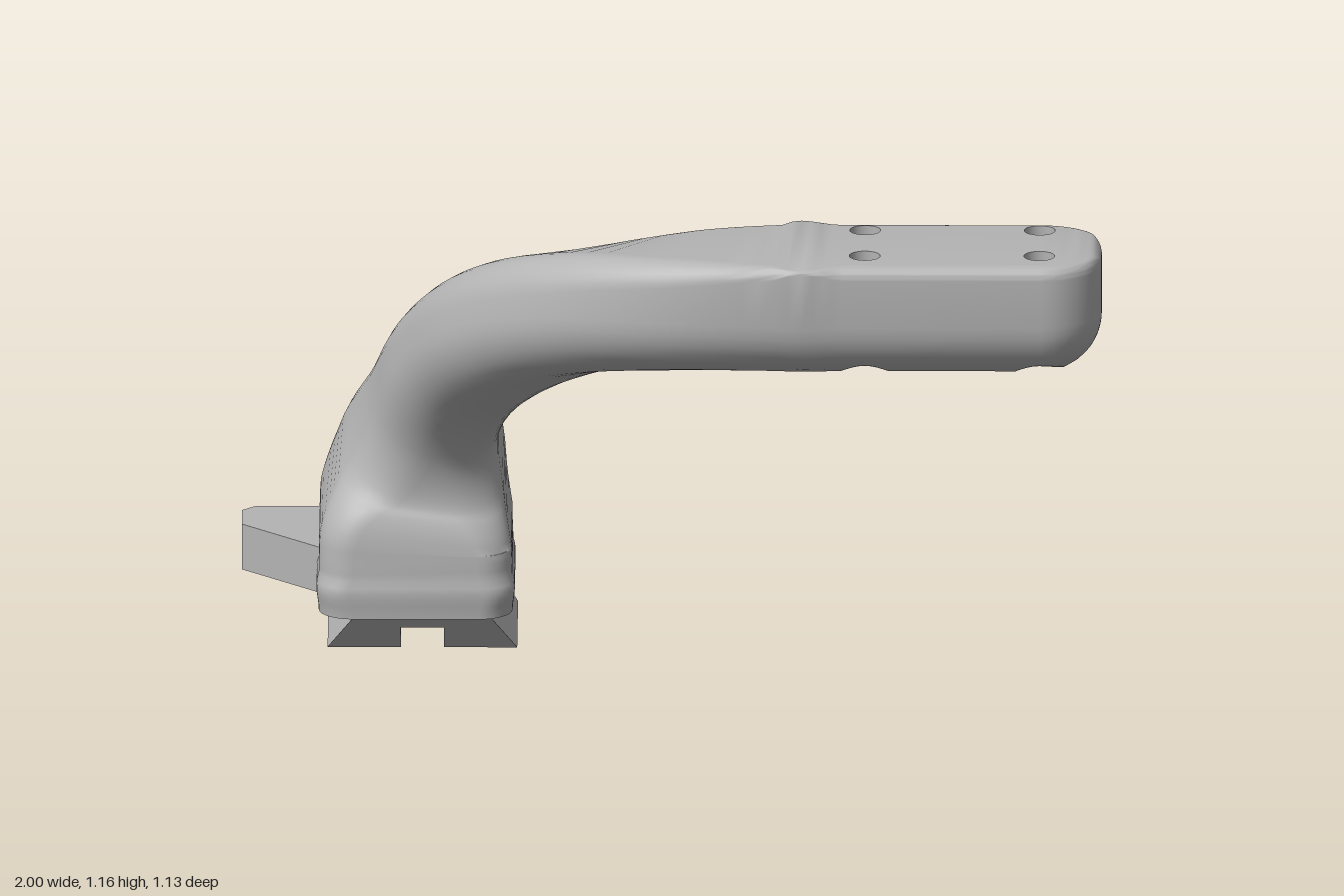
import * as THREE from 'three';
import { toCreasedNormals, mergeVertices } from 'three/addons/utils/BufferGeometryUtils.js';

const V = (x, y, z) => new THREE.Vector3(x, y, z);
const grey = new THREE.MeshStandardMaterial({ color: 0xb4b4b4, side: THREE.DoubleSide });
grey.name = 'grey';

const ARM_Z = 0.37, HALF_W = 0.185, TOP = 1.155, BOTTOM = 0.87, ROUND = 0.14;
const POCKET_TOP = 1.1, POCKET_R = 0.058, HOLE_R = 0.036, BACK_Z = 0.186;

// Rounded rectangle with separate radii for its top and bottom corners
function section(a, b, topR, botR) {
  const pts = [], n = 8;
  [[1, 1, topR, 0], [-1, 1, topR, 1], [-1, -1, botR, 2], [1, -1, botR, 3]].forEach(([sx, sy, rad, q]) => {
    const r = Math.min(rad, a * 0.98, b * 0.98);
    for (let i = 0; i <= n; i++) {
      const t = (q + i / n) * Math.PI / 2;
      pts.push([sx * (a - r) + r * Math.cos(t), sy * (b - r) + r * Math.sin(t)]);
    }
  });
  return pts;
}

// Sweep from the square foot, round the bend and out to the tip of the arm
function bodyGeometry() {
  // x, y, z, half side, half thickness, turn, top radius, bottom radius
  const stations = [
    [-0.595, 0.12, -0.295, 0.225, 0.265, 0, 0.08, 0.08],
    [-0.595, 0.21, -0.295, 0.225, 0.265, 0, 0.08, 0.08],
    [-0.595, 0.30, -0.295, 0.223, 0.263, 0, 0.085, 0.085],
    [-0.578, 0.44, -0.275, 0.19, 0.228, 0.16, 0.12, 0.12],
    [-0.55, 0.59, -0.195, 0.152, 0.175, 0.46, 0.13, 0.14],
    [-0.495, 0.72, -0.085, 0.16, 0.153, 0.6, 0.12, 0.14],
    [-0.375, 0.86, 0.09, 0.175, 0.146, 0.73, 0.11, 0.14],
    [-0.2, 0.955, 0.24, 0.184, 0.143, 0.87, 0.09, 0.14],
    [0.03, 1.003, 0.342, 0.185, 0.1425, 0.97, 0.06, 0.14],
    [0.25, 1.0125, 0.37, 0.185, 0.1425, 1, 0.03, 0.14],
    [0.4, 1.0125, 0.37, 0.185, 0.1425, 1, 0.03, 0.14],
  ];
  const curve = (i) => new THREE.CatmullRomCurve3(stations.map((s) => V(s[i], s[i + 1], s[i + 2] ?? 0)));
  const path = curve(0), size = curve(3), radii = curve(6);
  const rings = [];
  const addRing = (c, t, turn, a, b, tr, br) => {
    const ang = turn * Math.PI / 2;
    const up = V(0, Math.sin(ang), -Math.cos(ang));
    up.addScaledVector(t, -up.dot(t)).normalize();
    const side = t.clone().cross(up);
    rings.push(section(a, b, tr, br).map(([s, u]) => c.clone().addScaledVector(side, s).addScaledVector(up, u)));
  };
  const N = 60;
  for (let i = 0; i <= N; i++) {
    const t = i / N, s = size.getPoint(t), r = radii.getPoint(t);
    addRing(path.getPoint(t), path.getTangent(t), s.z, s.x, s.y, r.x, r.y);
  }
  // Rounded tip
  for (const deg of [0, 12, 24, 36, 47, 54, 60, 66, 72, 78, 84, 90]) {
    const a = deg * Math.PI / 180, c = Math.cos(a), x = 1 - ROUND + ROUND * Math.sin(a);
    const inset = ROUND * (1 - c), e = Math.max(0, x - 0.97);
    const hi = TOP - 0.03 + Math.sqrt(Math.max(0, 0.0009 - e * e)), lo = BOTTOM + inset;
    addRing(V(x, (hi + lo) / 2, ARM_Z), V(1, 0, 0), 1, HALF_W - inset, (hi - lo) / 2, 0.03, ROUND * c + 0.003);
  }
  const pos = [], index = [], m = rings[0].length;
  rings.flat().forEach((p) => pos.push(p.x, p.y, p.z));
  for (let i = 0; i < rings.length - 1; i++) for (let j = 0; j < m; j++) {
    const k = (j + 1) % m, a = i * m + j, b = i * m + k;
    index.push(a, a + m, b + m, a, b + m, b);
  }
  const last = (rings.length - 1) * m;
  for (let j = 1; j < m - 1; j++) index.push(0, j, j + 1, last, last + j + 1, last + j);
  const g = new THREE.BufferGeometry();
  g.setAttribute('position', new THREE.Float32BufferAttribute(pos, 3));
  g.setIndex(index);
  return toCreasedNormals(mergeVertices(g, 1e-5), 0.75);
}

// Cut a polygon by a plane into the part in front and the part behind
function split(poly, { n, d }) {
  const front = [], back = [];
  poly.forEach((v, i) => {
    const w = poly[(i + 1) % poly.length], dv = v.p.dot(n) - d, dw = w.p.dot(n) - d;
    (dv > 0 ? front : back).push(v);
    if (dv > 0 !== dw > 0) {
      const t = dv / (dv - dw);
      const mid = { p: v.p.clone().lerp(w.p, t), n: v.n.clone().lerp(w.n, t).normalize() };
      front.push(mid);
      back.push(mid);
    }
  });
  return [front, back];
}

// Remove a convex region from a polygon list; the removed parts go to inner
function carve(polys, planes, inner = []) {
  const out = [];
  for (const poly of polys) {
    let rest = poly;
    const kept = [];
    for (const plane of planes) {
      const [f, b] = split(rest, plane);
      if (b.length > 2) kept.push(b);
      rest = f;
      if (rest.length < 3) break;
    }
    if (rest.length < 3) out.push(poly);
    else {
      out.push(...kept);
      inner.push(rest);
    }
  }
  return out;
}

function toPolys(g) {
  const P = g.attributes.position, Nn = g.attributes.normal, polys = [];
  for (let i = 0; i < P.count; i += 3) polys.push([0, 1, 2].map((k) => ({
    p: V().fromBufferAttribute(P, i + k), n: V().fromBufferAttribute(Nn, i + k),
  })));
  return polys;
}

function fromPolys(polys) {
  const pos = [], nor = [];
  for (const poly of polys) for (let i = 1; i < poly.length - 1; i++)
    for (const v of [poly[0], poly[i], poly[i + 1]]) { pos.push(...v.p.toArray()); nor.push(...v.n.toArray()); }
  const g = new THREE.BufferGeometry();
  g.setAttribute('position', new THREE.Float32BufferAttribute(pos, 3));
  g.setAttribute('normal', new THREE.Float32BufferAttribute(nor, 3));
  return g;
}

// Vertical planes around a plan outline, facing inwards
function prism(pts, closed) {
  return pts.slice(0, closed ? pts.length : -1).map(([x, z], i) => {
    const [x2, z2] = pts[(i + 1) % pts.length], n = V(z - z2, 0, x2 - x).normalize();
    return { n, d: n.x * x + n.z * z };
  });
}

const arc = (x, z, r, sweep, n) => Array.from({ length: n }, (_, i) => {
  const t = sweep === Math.PI ? i / (n - 1) * sweep : i / n * sweep;
  return [x + r * Math.cos(t), z + r * Math.sin(t)];
});

// Height of the arm's rounded underside
function underside(x, z) {
  const d = Math.hypot(Math.max(0, x - 1 + ROUND), Math.max(0, Math.abs(z - ARM_Z) - HALF_W + ROUND));
  return BOTTOM + ROUND - Math.sqrt(Math.max(0, ROUND * ROUND - d * d));
}

export function createModel() {
  const model = new THREE.Group();
  const add = (name, g) => {
    const m = new THREE.Mesh(g, grey);
    m.name = name;
    model.add(m);
    return m;
  };
  const plan = (pts) => new THREE.Shape(pts.map(([x, z]) => new THREE.Vector2(x, z)));

  let body = toPolys(bodyGeometry());

  // Flat slanted cut on the foot
  const cut = { n: V(1, 0, -1).normalize(), d: 0.018 / Math.SQRT2 }, inner = [];
  body = carve(body, [{ n: V(0, -1, 0), d: -0.6 }, cut], inner);
  inner.forEach((poly) => body.push(poly.map((v) => ({
    p: v.p.clone().addScaledVector(cut.n, cut.d - v.p.dot(cut.n)), n: cut.n,
  }))));

  // Screw holes with pockets below; the rear pockets open through the side
  for (const x of [0.45, 0.855]) for (const z of [0.25, 0.45]) {
    const closed = z > ARM_Z, r = POCKET_R;
    let outline = arc(x, z, r, Math.PI * 2, 24);
    if (!closed) {
      const steps = [0, 0.15, 0.35, 0.65].map((t) => BACK_Z + (z - BACK_Z) * t);
      outline = [...steps.map((s) => [x + r, s]), ...arc(x, z, r, Math.PI, 13), ...steps.reverse().map((s) => [x - r, s])];
    }
    const circle = arc(x, z, HOLE_R, Math.PI * 2, 24);
    body = carve(body, [{ n: V(0, -1, 0), d: -POCKET_TOP }, ...prism(outline, closed)]);
    body = carve(body, [{ n: V(0, 1, 0), d: POCKET_TOP }, ...prism(circle, true)]);

    const pos = [], index = [], n = outline.length;
    outline.forEach(([px, pz]) => pos.push(px, underside(px, pz), pz, px, POCKET_TOP, pz));
    for (let i = 0; i < (closed ? n : n - 1); i++) {
      const a = 2 * i, b = 2 * ((i + 1) % n);
      index.push(a, b, b + 1, a, b + 1, a + 1);
    }
    const wall = new THREE.BufferGeometry();
    wall.setAttribute('position', new THREE.Float32BufferAttribute(pos, 3));
    wall.setIndex(index);
    wall.computeVertexNormals();
    add('pocketWall', wall);

    const roof = plan(outline);
    roof.holes.push(plan(circle));
    add('pocketRoof', new THREE.ShapeGeometry(roof).rotateX(Math.PI / 2).translate(0, POCKET_TOP, 0));
    add('screwHole', new THREE.CylinderGeometry(HOLE_R, HOLE_R, TOP - POCKET_TOP, 24, 1, true)
      .translate(x, (TOP + POCKET_TOP) / 2, z));
  }
  add('curvedArm', fromPolys(body));

  // Dovetail with a groove underneath and a slanted front
  const tail = new THREE.ExtrudeGeometry(plan([[-0.8, 0], [-0.63, 0], [-0.63, 0.07], [-0.53, 0.07], [-0.53, 0],
    [-0.36, 0], [-0.43, 0.12], [-0.73, 0.12]]), { depth: 1, bevelEnabled: false });
  const p = tail.attributes.position;
  for (let i = 0; i < p.count; i++) p.setZ(i, p.getZ(i) > 0.5 ? -0.2 + p.getY(i) : -0.56);
  tail.computeVertexNormals();
  add('dovetail', tail);
  add('grooveStop', new THREE.BoxGeometry(0.1, 0.07, 0.06)).position.set(-0.58, 0.035, -0.53);

  // Side tab and the small ledge beside the slanted cut
  const tab = plan([[-0.97, -0.56], [-0.7, -0.56], [-0.7, -0.24], [-0.82, -0.24], [-1, -0.42], [-1, -0.53]]);
  add('sideTab', new THREE.ExtrudeGeometry(tab, { depth: 0.11, bevelEnabled: false })
    .rotateX(Math.PI / 2).translate(0, 0.23, 0));
  add('ledge', new THREE.BoxGeometry(0.22, 0.11, 0.115)).position.set(-0.54, 0.175, -0.5025);
  return model;
}
